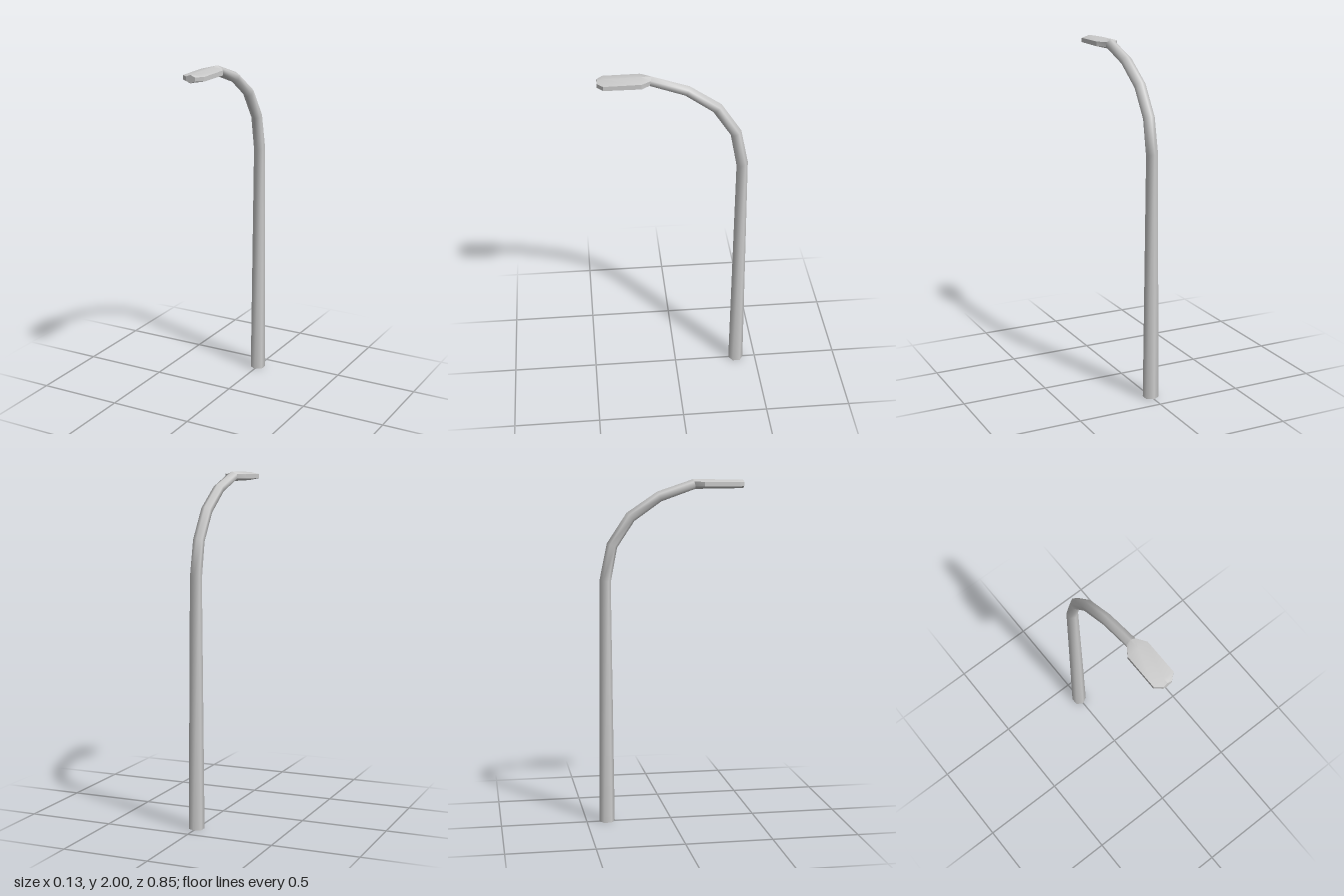
import * as THREE from 'three';
import { toCreasedNormals } from 'three/addons/utils/BufferGeometryUtils.js';

// Lofts six-sided rings; each ring is [outerZ, outerY, innerZ, innerY, halfWidth]
function loftHex(rings, capEnd) {
  const corners = [[0, 0], [1, 0.25], [1, 0.75], [0, 1], [-1, 0.75], [-1, 0.25]];
  const positions = [], index = [];
  for (const [oz, oy, iz, iy, w] of rings) {
    for (const [side, t] of corners) {
      positions.push(side * w, oy + (iy - oy) * t, oz + (iz - oz) * t);
    }
  }
  for (let i = 0; i < rings.length - 1; i++) {
    for (let j = 0; j < 6; j++) {
      const a = i * 6 + j, b = i * 6 + (j + 1) % 6;
      index.push(a, a + 6, b, b, a + 6, b + 6);
    }
  }
  if (capEnd) {
    const s = (rings.length - 1) * 6;
    for (let j = 1; j < 5; j++) index.push(s, s + j + 1, s + j);
  }
  const geometry = new THREE.BufferGeometry();
  geometry.setAttribute('position', new THREE.Float32BufferAttribute(positions, 3));
  geometry.setIndex(index);
  geometry.computeVertexNormals();
  return geometry;
}

export function createModel() {
  const group = new THREE.Group();
  group.name = 'streetLight';
  const material = new THREE.MeshStandardMaterial({ color: 0xcccccc, side: THREE.DoubleSide });

  // Tapered pole bending forward into the arm, open at the foot
  const pole = new THREE.Mesh(loftHex([
    [-0.425, 0, -0.335, 0, 0.039],
    [-0.411, 1.435, -0.347, 1.415, 0.029],
    [-0.368, 1.64, -0.309, 1.615, 0.028],
    [-0.254, 1.812, -0.209, 1.765, 0.028],
    [-0.077, 1.931, -0.053, 1.875, 0.028],
    [0.13, 2.0, 0.145, 1.945, 0.028],
  ], false), material);
  pole.name = 'pole';

  // Flat lamp head with tapered ends
  const lampHead = new THREE.Mesh(toCreasedNormals(loftHex([
    [0.13, 2.0, 0.145, 1.945, 0.028],
    [0.187, 2.0, 0.187, 1.945, 0.065],
    [0.393, 1.996, 0.393, 1.947, 0.065],
    [0.425, 1.995, 0.425, 1.949, 0.027],
  ], true), 0.6), material);
  lampHead.name = 'lampHead';

  group.add(pole, lampHead);
  return group;
}
